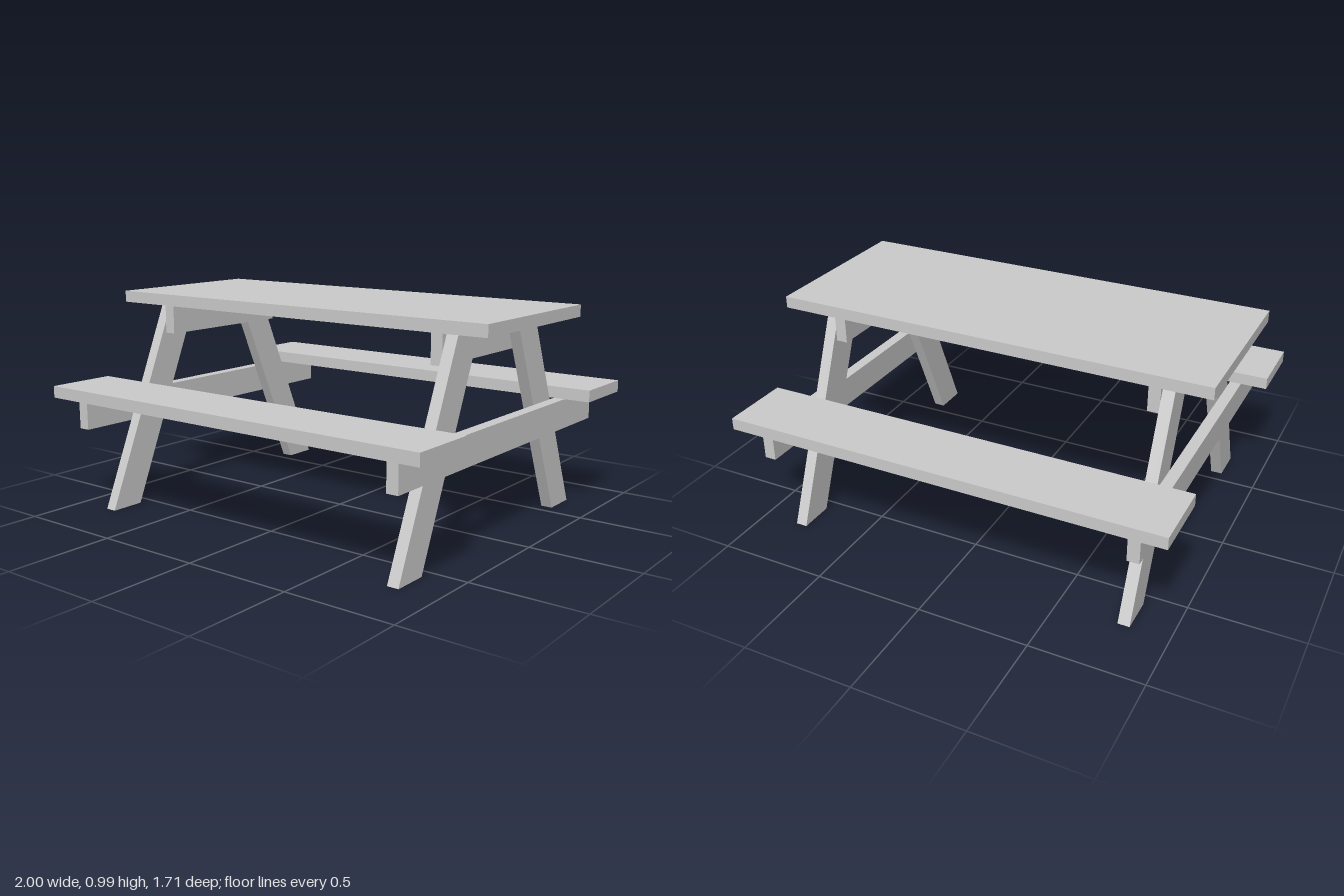
import * as THREE from 'three';

export function createModel() {
  const table = new THREE.Group();
  table.name = 'picnicTable';
  const wood = new THREE.MeshStandardMaterial({
    color: 0xcccccc, flatShading: true, side: THREE.DoubleSide,
  });

  // Hollow board: a box left open at the underside
  function openBox(width, height, depth) {
    const geometry = new THREE.BoxGeometry(width, height, depth);
    const index = [...geometry.index.array];
    index.splice(18, 6); // the downward face
    geometry.setIndex(index);
    return geometry;
  }

  function addPart(name, geometry, x, y, z) {
    const mesh = new THREE.Mesh(geometry, wood);
    mesh.position.set(x, y, z);
    mesh.name = name;
    table.add(mesh);
  }

  // Plank given by its extents along each axis
  function plank(name, [x0, x1], [y0, y1], [z0, z1]) {
    const geometry = openBox(x1 - x0, y1 - y0, z1 - z0);
    addPart(name, geometry, (x0 + x1) / 2, (y0 + y1) / 2, (z0 + z1) / 2);
  }

  // Slanted leg: a board sheared outward towards the ground
  function leg(name, side, end) {
    const height = 0.934;
    const geometry = openBox(0.053, height, 0.16);
    const pos = geometry.attributes.position;
    for (let i = 0; i < pos.count; i++) {
      const splay = pos.getY(i) < 0 ? 0.64 : 0.24;
      pos.setZ(i, pos.getZ(i) + end * splay);
    }
    geometry.computeVertexNormals();
    addPart(name, geometry, side * 0.8, height / 2, 0);
  }

  // Table top and the two benches
  plank('tableTop', [-1, 1], [0.934, 0.987], [-0.4, 0.4]);
  plank('frontBench', [-1, 1], [0.533, 0.587], [0.534, 0.853]);
  plank('backBench', [-1, 1], [0.533, 0.587], [-0.853, -0.534]);

  // Frame at each end: cleat inside the legs, bench beam outside
  for (const side of [-1, 1]) {
    const label = side > 0 ? 'left' : 'right';
    const span = (a, b) => (side > 0 ? [a, b] : [-b, -a]);
    plank(label + 'TopCleat', span(0.72, 0.773), [0.797, 0.934], [-0.355, 0.355]);
    plank(label + 'BenchBeam', span(0.827, 0.88), [0.397, 0.533], [-0.808, 0.808]);
    leg(label + 'FrontLeg', side, 1);
    leg(label + 'BackLeg', side, -1);
  }
  return table;
}
